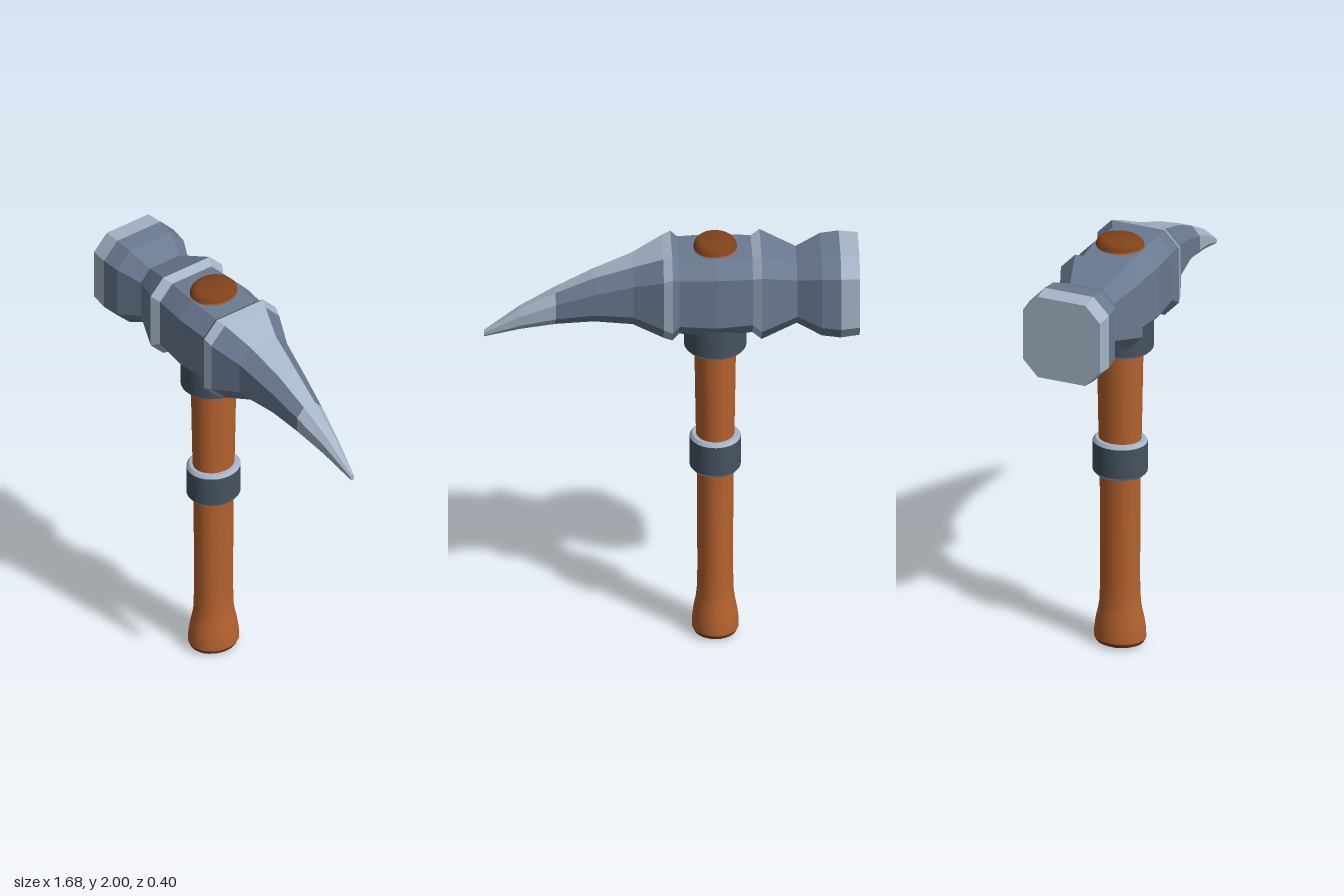
import * as THREE from 'three';
import { toCreasedNormals } from 'three/addons/utils/BufferGeometryUtils.js';

const material = (name, color) => {
  const m = new THREE.MeshStandardMaterial({ color });
  m.name = name;
  return m;
};

// Chamfered rectangle across the head, counterclockwise seen from +x
function ring([x, bottom, top, w, k = 0.62]) {
  const c = (bottom + top) / 2, h = (top - bottom) / 2;
  return [[k, 1], [1, k], [1, -k], [k, -1], [-k, -1], [-1, -k], [-1, k], [-k, 1]]
    .map(([z, y]) => [x, c + y * h, z * w]);
}

// Loft through rings; group 0 is the sides and caps, group 1 the top and bottom flats
function loft(sections, capStart, capEnd) {
  const rings = sections.map(ring);
  const sides = [], flats = [];
  for (let i = 0; i < rings.length - 1; i++) {
    const a = rings[i], b = rings[i + 1];
    for (let j = 0; j < 8; j++) {
      const n = (j + 1) % 8;
      (j === 3 || j === 7 ? flats : sides).push(a[j], a[n], b[n], a[j], b[n], b[j]);
    }
  }
  const first = rings[0], last = rings[rings.length - 1];
  for (let j = 1; j < 7; j++) {
    if (capStart) sides.push(first[0], first[j + 1], first[j]);
    if (capEnd) sides.push(last[0], last[j], last[j + 1]);
  }
  const geo = new THREE.BufferGeometry();
  geo.setAttribute('position', new THREE.Float32BufferAttribute([...sides, ...flats].flat(), 3));
  geo.computeVertexNormals();
  geo.addGroup(0, sides.length, 0);
  geo.addGroup(sides.length, flats.length, 1);
  return geo;
}

// Oval turned part: profile points are [x radius, y], depth stretches z
function turned(profile, depth) {
  const geo = new THREE.LatheGeometry(profile.map(([r, y]) => new THREE.Vector2(r, y)), 32);
  geo.scale(1, 1, depth);
  return toCreasedNormals(geo, 0.5);
}

export function createModel() {
  const group = new THREE.Group();
  group.name = 'hammer';
  const steel = material('steel', 0x6b7a92);
  const bright = material('bright steel', 0xa6b5c8);
  const dark = material('dark iron', 0x465361);
  const wood = material('wood', 0xb5622f);
  const darkWood = material('dark wood', 0x80431b);

  const add = (name, geo, mat, x = 0) => {
    const mesh = new THREE.Mesh(geo, mat);
    mesh.name = name;
    mesh.position.x = x;
    group.add(mesh);
  };

  // Head, from striking face to pick tip: [x, bottom, top, half depth, flat share]
  const faceBack = [-0.755, 1.55, 1.965, 0.195];
  const ringA = [-0.4, 1.555, 1.975, 0.2, 0.65], ringB = [-0.36, 1.58, 1.955, 0.177];
  const ringC = [-0.03, 1.58, 1.955, 0.18], ringD = [0, 1.555, 1.975, 0.2, 0.65];
  const pickRoot = [0.04, 1.562, 1.962, 0.19, 0.6];
  const tipRoot = [0.52, 1.597, 1.755, 0.07, 0.45];
  const parts = [
    ['strikingFace', [[-0.84, 1.56, 1.957, 0.188], faceBack], bright, bright, true, false],
    ['poll', [faceBack, [-0.67, 1.56, 1.957, 0.186], [-0.56, 1.61, 1.91, 0.135], ringA], steel, steel],
    ['pollRidge', [ringA, ringB], bright, bright],
    ['headBlock', [ringB, [-0.2, 1.57, 1.962, 0.19], ringC, ringD], steel, steel],
    ['pickRidge', [ringD, pickRoot], bright, bright],
    ['pick', [pickRoot, [0.175, 1.61, 1.9, 0.133, 0.53], [0.35, 1.615, 1.835, 0.1, 0.47], tipRoot], steel, bright],
    ['pickTip', [tipRoot, [0.68, 1.567, 1.668, 0.04, 0.45], [0.84, 1.525, 1.553, 0.01, 0.45]], bright, bright, false, true],
  ];
  for (const [name, sections, side, flat, start, end] of parts)
    add(name, loft(sections, start, end), [side, flat]);

  // Handle with flared grip, dark end and the wedge showing above the head
  const hx = -0.197;
  add('handle', turned([[0.105, 0.03], [0.104, 0.07], [0.098, 0.12], [0.088, 0.17], [0.083, 0.21],
    [0.08, 0.32], [0.082, 0.8], [0.088, 1.1], [0.094, 1.48], [0.098, 1.968]], 1.14), wood, hx);
  add('handleEnd', turned([[0, 0], [0.075, 0], [0.097, 0.012], [0.105, 0.03]], 1.14), darkWood, hx);
  add('handleTop', turned([[0.098, 1.966], [0.094, 1.98], [0.083, 1.993], [0.065, 2], [0, 2]], 1.14), darkWood, hx);

  // Socket collar under the head
  add('collar', turned([[0.14, 1.468], [0.14, 1.62], [0.09, 1.64]], 1.09), dark, hx);
  add('collarRim', turned([[0.09, 1.455], [0.129, 1.455], [0.14, 1.468]], 1.09), bright, hx);

  // Band around the grip with bright trims
  add('band', turned([[0.115, 0.854], [0.115, 0.997]], 1.09), dark, hx);
  add('bandLowerTrim', turned([[0.078, 0.84], [0.104, 0.84], [0.115, 0.854]], 1.09), bright, hx);
  add('bandUpperTrim', turned([[0.115, 0.997], [0.104, 1.012], [0.078, 1.012]], 1.09), bright, hx);

  return group;
}
